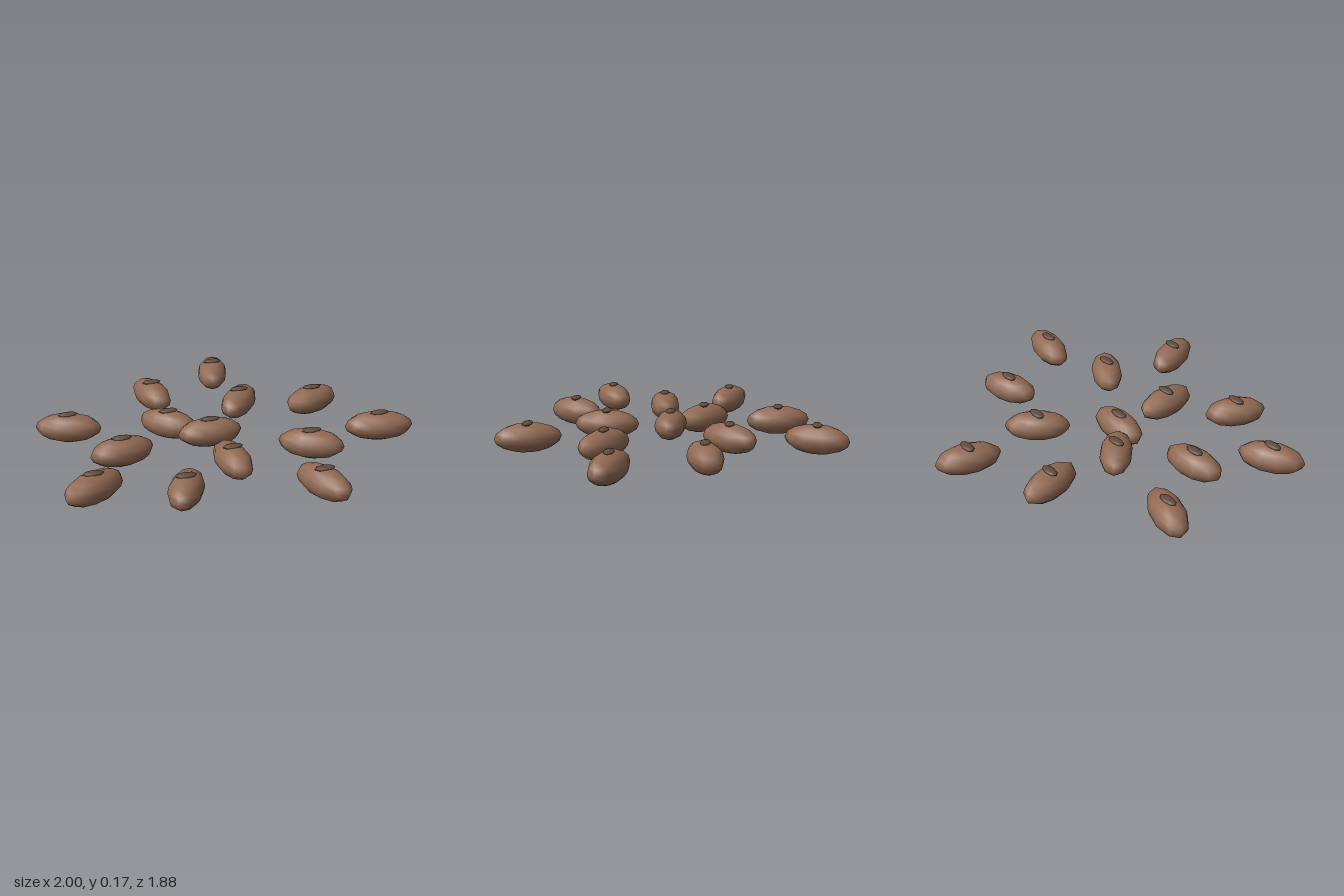
import * as THREE from 'three';

// x, z, heading in degrees, half length
const BEANS = [
  [0.157, -0.768, 73, 0.18], [-0.28, -0.557, -78, 0.18],
  [0.177, -0.305, 52, 0.18], [0.59, -0.205, 20, 0.172],
  [-0.83, -0.248, -20, 0.182], [-0.292, -0.132, -44, 0.174],
  [-0.103, 0.042, -2, 0.178], [-0.613, 0.13, 8, 0.176],
  [0.813, 0.243, -12, 0.19], [0.372, 0.342, -32, 0.179],
  [-0.088, 0.4, -86, 0.18], [-0.833, 0.48, 30, 0.18],
  [-0.405, 0.637, 62, 0.172], [0.27, 0.77, -69, 0.182],
];

export function createModel() {
  const model = new THREE.Group();
  model.name = 'scatteredBeans';

  const shell = new THREE.MeshStandardMaterial({ color: 0x916a54 });
  shell.name = 'brown shell';
  const dark = new THREE.MeshStandardMaterial({ color: 0x624b3c });
  dark.name = 'dark brown';

  const bodyShape = new THREE.SphereGeometry(1, 10, 8);
  const spotShape = new THREE.SphereGeometry(1, 8, 6);

  BEANS.forEach(([x, z, heading, halfLength], i) => {
    const bean = new THREE.Group();
    bean.name = `bean${i + 1}`;
    bean.position.set(x, 0, z);

    // Long rounded body
    const body = new THREE.Mesh(bodyShape, shell);
    body.name = 'beanBody';
    body.scale.set(halfLength, 0.08, 0.088);
    body.rotation.y = THREE.MathUtils.degToRad(heading);
    body.position.y = 0.08;

    // Flat dark spot on top, always lying along x
    const spot = new THREE.Mesh(spotShape, dark);
    spot.name = 'beanSpot';
    spot.scale.set(0.055, 0.012, 0.028);
    spot.position.y = 0.157;

    bean.add(body, spot);
    model.add(bean);
  });

  return model;
}
